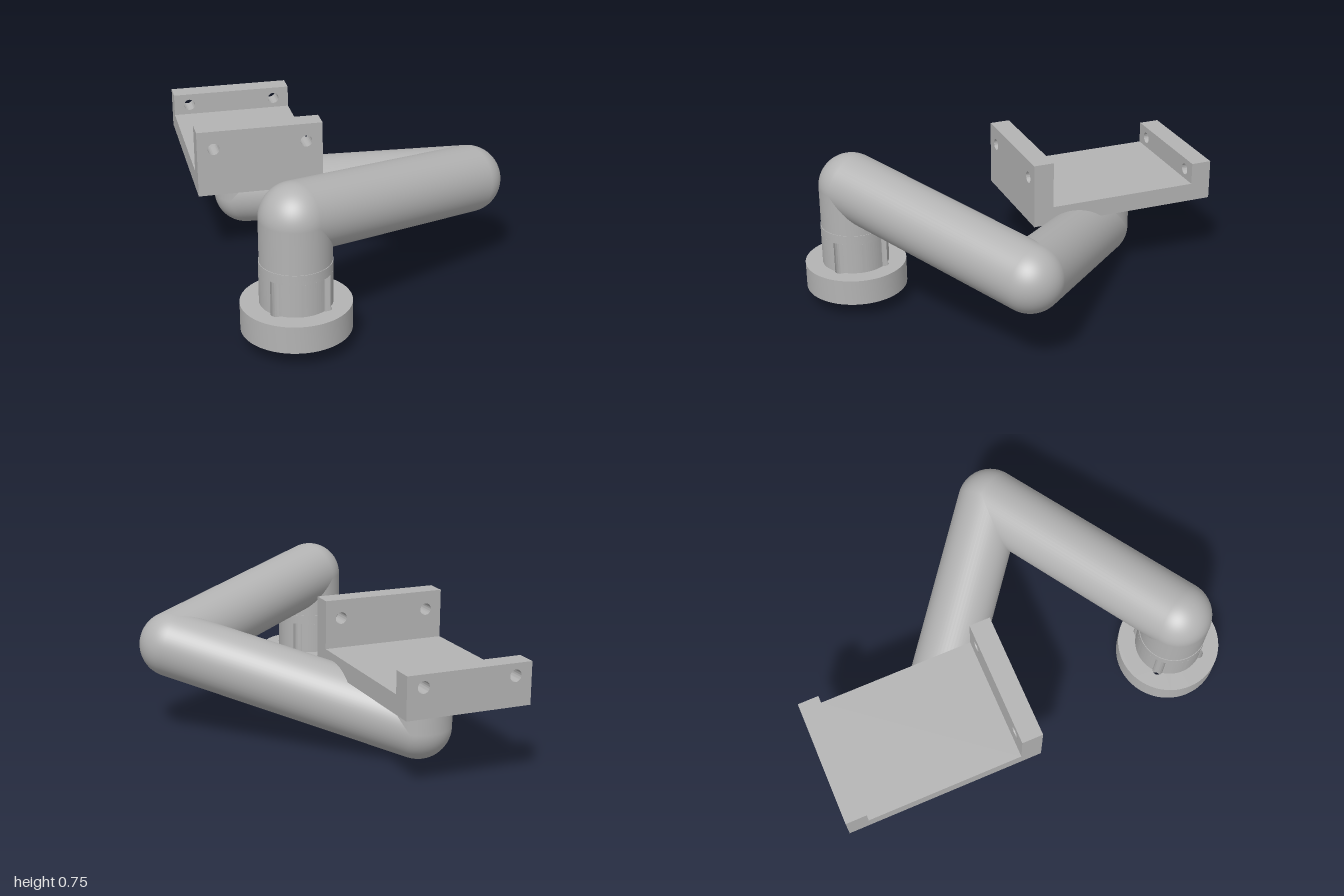
import * as THREE from 'three';
import { toCreasedNormals } from 'three/addons/utils/BufferGeometryUtils.js';

const R = 0.157;                                        // pipe radius
const SHOULDER = new THREE.Vector3(-0.396, 0.593, 0.757);
const ELBOW = new THREE.Vector3(0.532, 0.445, 0.217);
const WRIST = new THREE.Vector3(-0.396, 0.157, -0.525);
const BOLT_DIST = 0.15, BOLT_R = 0.026, CORE_R = 0.06;
const BOLT_ANGLES = [1, 3, 5, 7].map(k => k * Math.PI / 4);

export function createModel() {
  const group = new THREE.Group();
  const grey = new THREE.MeshStandardMaterial({ color: 0xb3b3b3 });
  grey.name = 'grey';

  const add = (name, geometry, position) => {
    const mesh = new THREE.Mesh(geometry, grey);
    mesh.name = name;
    if (position) mesh.position.copy(position);
    group.add(mesh);
    return mesh;
  };
  const circle = (x, y, r) => new THREE.Path().absarc(x, y, r, 0, Math.PI * 2, true);
  const extrude = (shape, depth) => toCreasedNormals(
    new THREE.ExtrudeGeometry(shape, { depth, bevelEnabled: false, curveSegments: 32 }), 0.6);
  // extrusion standing upright on the shoulder axis
  const upright = (name, shape, y0, y1) => add(name, extrude(shape, y1 - y0).rotateX(-Math.PI / 2),
    new THREE.Vector3(SHOULDER.x, y0, SHOULDER.z));
  const pipe = (name, a, b) => {
    const dir = b.clone().sub(a);
    const mesh = add(name, new THREE.CylinderGeometry(R, R, dir.length(), 64, 1, true),
      a.clone().add(b).multiplyScalar(0.5));
    mesh.quaternion.setFromUnitVectors(new THREE.Vector3(0, 1, 0), dir.normalize());
  };

  // Base flange with a core hole and four bolt holes
  const flange = new THREE.Shape().absarc(0, 0, 0.243, 0, Math.PI * 2, false);
  flange.holes.push(circle(0, 0, CORE_R));
  for (const t of BOLT_ANGLES) {
    flange.holes.push(circle(BOLT_DIST * Math.cos(t), BOLT_DIST * Math.sin(t), BOLT_R));
  }
  upright('baseFlange', flange, 0.08, 0.205);

  // Sleeve with rounded clearance slots above the bolt holes
  const S = 0.16;
  const a = Math.acos((S * S + BOLT_DIST ** 2 - BOLT_R ** 2) / (2 * S * BOLT_DIST));
  const b = Math.atan2(S * Math.sin(a), S * Math.cos(a) - BOLT_DIST);
  const slotted = new THREE.Shape();
  for (const t of BOLT_ANGLES) {
    slotted.absarc(0, 0, S, t - Math.PI / 2 + a, t - a, false);
    slotted.absarc(BOLT_DIST * Math.cos(t), BOLT_DIST * Math.sin(t), BOLT_R, t - b, t + b, true);
  }
  slotted.holes.push(circle(0, 0, CORE_R));
  upright('slottedSleeve', slotted, 0.205, 0.355);
  upright('sleeveCollar', new THREE.Shape().absarc(0, 0, S, 0, Math.PI * 2, false), 0.355, 0.4);

  // Bent pipe arm with ball joints
  pipe('shoulderPost', new THREE.Vector3(SHOULDER.x, 0.39, SHOULDER.z), SHOULDER);
  pipe('upperArm', SHOULDER, ELBOW);
  pipe('lowerArm', ELBOW, WRIST);
  pipe('wristPost', WRIST, new THREE.Vector3(WRIST.x, 0.37, WRIST.z));
  const ball = new THREE.SphereGeometry(R, 64, 40);
  add('shoulderJoint', ball, SHOULDER);
  add('elbowJoint', ball, ELBOW);
  add('wristJoint', ball, WRIST);

  // Mounting tray with two drilled end walls
  const X = -0.395, W = 0.597, FLOOR = 0.36;
  add('trayPlate', new THREE.BoxGeometry(W, 0.09, 0.745), new THREE.Vector3(X, FLOOR + 0.045, -0.5275));
  const wall = (name, top, holeY, z) => {
    const h = top - FLOOR, w = W / 2;
    const shape = new THREE.Shape([[-w, 0], [w, 0], [w, h], [-w, h]].map(p => new THREE.Vector2(...p)));
    for (const side of [-1, 1]) shape.holes.push(circle(side * 0.22, holeY - FLOOR, 0.028));
    add(name, extrude(shape, 0.1), new THREE.Vector3(X, FLOOR, z));
  };
  wall('frontWall', 0.68, 0.592, -0.155);
  wall('backWall', 0.557, 0.5, -1);

  return group;
}
